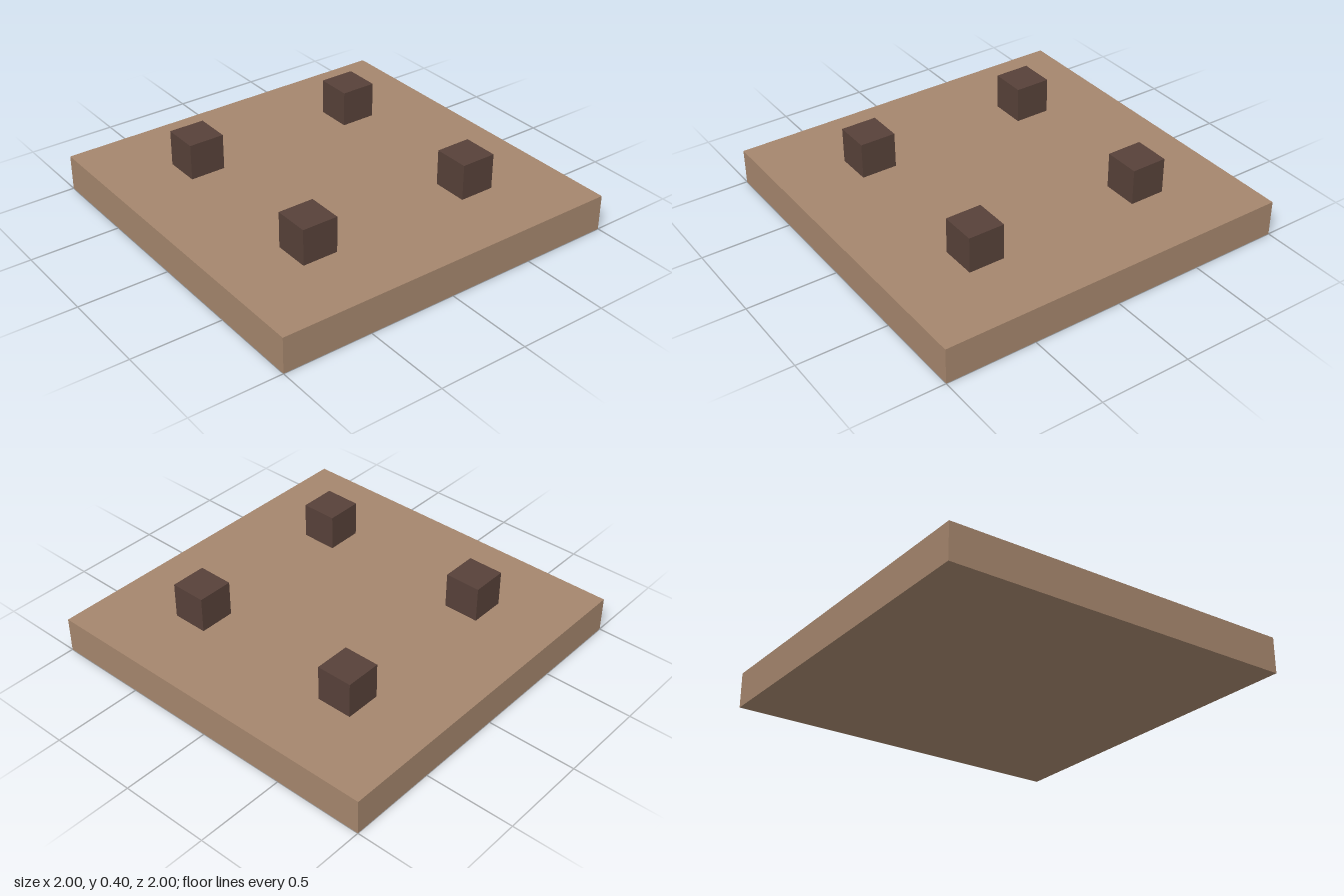
import * as THREE from 'three';

export function createModel() {
  const model = new THREE.Group();
  model.name = 'slabWithPegs';

  const tan = new THREE.MeshStandardMaterial({ color: 0xa5866d });
  tan.name = 'tan wood';
  const darkBrown = new THREE.MeshStandardMaterial({ color: 0x574139 });
  darkBrown.name = 'dark brown wood';

  // Square slab
  const slab = new THREE.Mesh(new THREE.BoxGeometry(2, 0.2, 2), tan);
  slab.name = 'slab';
  slab.position.y = 0.1;
  model.add(slab);

  // Four cube pegs standing on the slab
  const pegGeometry = new THREE.BoxGeometry(0.2, 0.2, 0.2);
  for (const [endName, z] of [['front', 0.5], ['back', -0.5]]) {
    for (const [sideName, x] of [['Left', 0.5], ['Right', -0.5]]) {
      const peg = new THREE.Mesh(pegGeometry, darkBrown);
      peg.name = `${endName}${sideName}Peg`;
      peg.position.set(x, 0.3, z);
      model.add(peg);
    }
  }

  return model;
}
